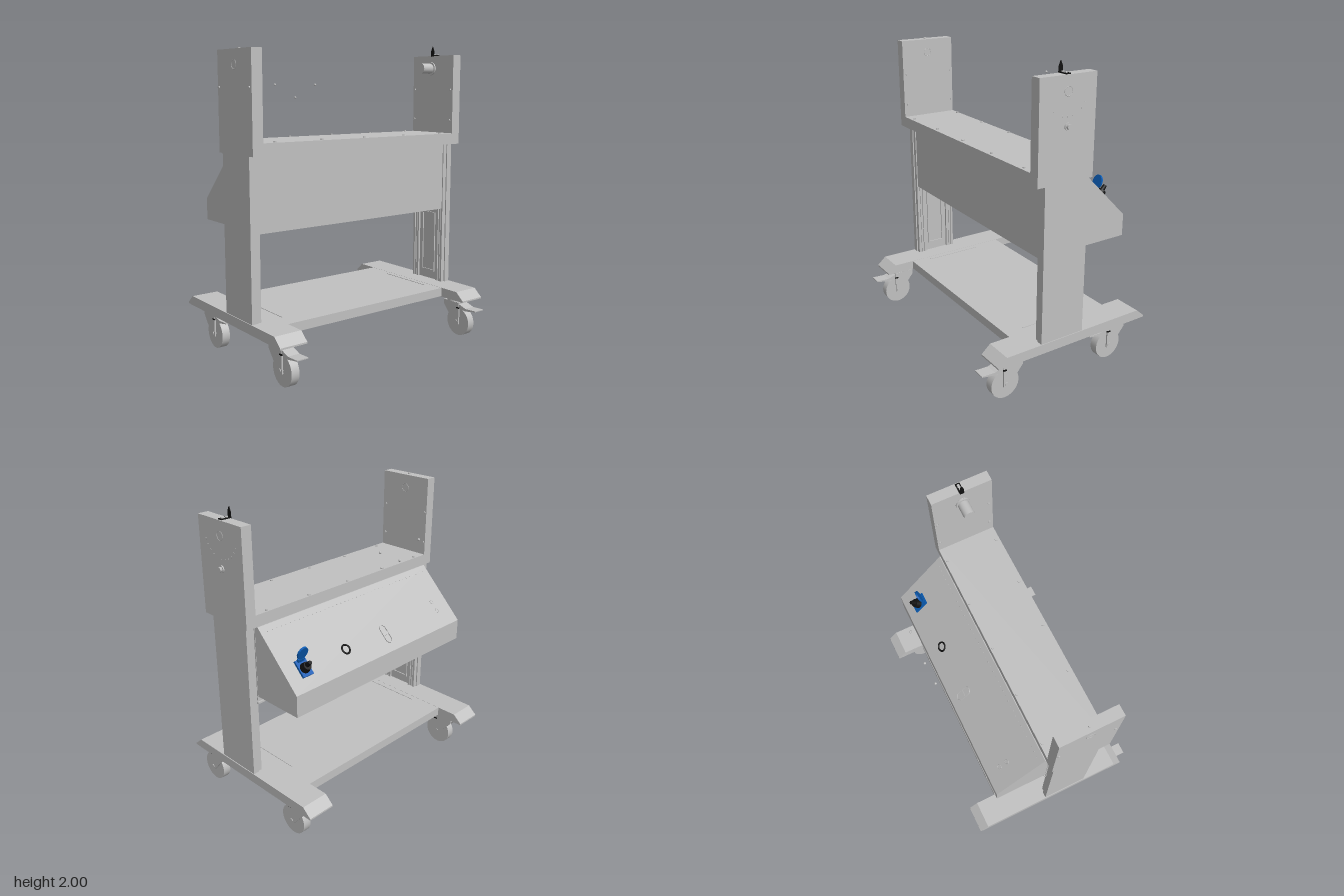
import * as THREE from 'three';

const mat = (name, color) => {
  const m = new THREE.MeshStandardMaterial({ color });
  m.name = name;
  return m;
};

export function createModel() {
  const model = new THREE.Group();
  model.name = 'trolley';
  const grey = mat('paintedGrey', 0xc0c0c0);
  const blue = mat('socketBlue', 0x0a5cb4);
  const black = mat('black', 0x111111);
  const CX = 0.01; // mirror plane of the frame

  const add = (parent, name, geo, material = grey) => {
    const m = new THREE.Mesh(geo, material);
    m.name = name;
    parent.add(m);
    return m;
  };
  // box given by its limits on each axis
  const box = (parent, name, x0, x1, y0, y1, z0, z1, material) => {
    const g = new THREE.BoxGeometry(Math.abs(x1 - x0), y1 - y0, z1 - z0);
    g.translate((x0 + x1) / 2, (y0 + y1) / 2, (z0 + z1) / 2);
    return add(parent, name, g, material);
  };
  // [z, y] outline extruded between two x positions
  const profile = (parent, name, pts, x0, x1, material) => {
    const shape = new THREE.Shape(pts.map(p => new THREE.Vector2(...p)));
    const g = new THREE.ExtrudeGeometry(shape, { depth: x1 - x0, bevelEnabled: false });
    g.rotateY(-Math.PI / 2).translate(x1, 0, 0);
    return add(parent, name, g, material);
  };
  // cylinder lying along x between two x positions
  const rodX = (parent, name, x0, x1, y, z, r, material, sides = 24) => {
    const g = new THREE.CylinderGeometry(r, r, Math.abs(x1 - x0), sides);
    g.rotateZ(Math.PI / 2).translate((x0 + x1) / 2, y, z);
    return add(parent, name, g, material);
  };
  const rodY = (parent, name, x, y0, y1, z, r, material, sides = 12) => {
    const g = new THREE.CylinderGeometry(r, r, y1 - y0, sides);
    g.translate(x, (y0 + y1) / 2, z);
    return add(parent, name, g, material);
  };

  // braked swivel caster, wheel axle at local z = 0
  function caster(x, z) {
    const c = new THREE.Group();
    c.name = 'caster';
    c.position.set(x, 0, z);
    rodX(c, 'wheel', -0.027, 0.027, 0.098, 0, 0.098, grey, 40);
    rodX(c, 'axle', -0.047, 0.047, 0.1, 0, 0.012);
    for (const s of [-1, 1]) {
      const x0 = s * 0.038 - 0.005;
      profile(c, 'forkCheek', [[0.02, 0.235], [-0.12, 0.235], [-0.12, 0.205], [-0.02, 0.083], [0.02, 0.083]], x0, x0 + 0.01);
    }
    box(c, 'forkBridge', -0.04, 0.04, 0.215, 0.237, -0.12, 0.02);
    rodY(c, 'swivel', 0, 0.235, 0.252, -0.06, 0.048, grey, 24);
    box(c, 'mountingPlate', -0.05, 0.05, 0.25, 0.262, -0.155, 0.04);
    profile(c, 'brakePedal', [[0.17, 0.212], [0.08, 0.208], [0.02, 0.228], [0, 0.2], [0.08, 0.19], [0.17, 0.206]], -0.04, 0.04);
    box(c, 'brakeBar', -0.048, 0.048, 0.197, 0.205, 0.0, 0.025, black);
    model.add(c);
  }

  // mirrored sides: tower, column, foot and casters
  for (const s of [-1, 1]) {
    const X = d => CX + s * d;
    const side = new THREE.Group();
    side.name = s > 0 ? 'leftSide' : 'rightSide';
    model.add(side);
    box(side, 'tower', X(0.765), X(0.835), 1.39, 1.935, -0.11, 0.28);
    box(side, 'columnCover', X(0.785), X(0.825), 0.325, 1.325, -0.09, 0.22);
    box(side, 'columnLiner', X(0.772), X(0.786), 0.325, 1.325, -0.07, 0.2);
    for (const [a, b] of [[0.155, 0.212], [-0.082, -0.025]]) {
      box(side, 'columnRail', X(0.765), X(0.786), 0.325, 1.325, a, b);
      const mid = (a + b) / 2;
      for (const e of [a + 0.008, b - 0.008])
        box(side, 'railLip', X(0.757), X(0.766), 0.325, 1.325, e - 0.008, e + 0.008);
      box(side, 'railCore', X(0.76), X(0.766), 0.325, 1.325, mid - 0.005, mid + 0.005);
    }
    // framed opening low on the inner face
    for (const [a, b] of [[0.0, 0.012], [0.118, 0.13]])
      box(side, 'innerFrame', X(0.764), X(0.773), 0.38, 0.82, a, b);
    for (const y of [0.38, 0.808])
      box(side, 'innerFrame', X(0.764), X(0.773), y, y + 0.012, 0, 0.13);

    const f = [X(0.645), X(0.83)].sort((a, b) => a - b);
    profile(side, 'foot', [[0.53, 0.262], [0.53, 0.272], [0.47, 0.325], [-0.55, 0.325], [-0.61, 0.272], [-0.61, 0.262]], f[0], f[1]);
    for (const z of [0.435, -0.375]) caster(X(0.73), z);

    // tower fittings
    for (const d of [0.7645, 0.8355]) {
      const ring = new THREE.TorusGeometry(0.027, 0.0018, 6, 32);
      ring.rotateY(Math.PI / 2).translate(X(d), 1.845, 0.085);
      add(side, 'holeRim', ring);
    }
    for (const z of [-0.095, 0.255])
      for (const y of [1.49, 1.7]) rodX(side, 'towerScrew', X(0.757), X(0.766), y, z, 0.008, grey, 12);
    rodY(side, 'towerTopScrew', X(0.8), 1.934, 1.944, 0.085, 0.009);
  }

  // deck with screws
  box(model, 'deck', CX - 0.835, CX + 0.835, 1.325, 1.4, -0.11, 0.28);
  for (const x of [-0.67, -0.335, 0, 0.335, 0.67])
    for (const z of [-0.095, 0.255]) rodY(model, 'deckScrew', CX + x, 1.4, 1.408, z, 0.009);

  // main body and sloped rear console
  box(model, 'body', -0.752, 0.772, 0.86, 1.325, -0.09, 0.205);
  profile(model, 'console', [[-0.088, 0.86], [-0.088, 1.325], [-0.115, 1.325], [-0.44, 1.0], [-0.44, 0.86]], -0.75, 0.77);
  // stepped rail under the body
  box(model, 'lowerRail', -0.755, 0.775, 0.835, 0.86, -0.09, -0.055);
  box(model, 'lowerRailWeb', -0.755, 0.775, 0.82, 0.836, -0.083, -0.062);
  box(model, 'lowerRailFlange', -0.755, 0.775, 0.81, 0.821, -0.095, -0.055);

  // base tray, hollow underneath
  box(model, 'trayTop', CX - 0.645, CX + 0.645, 0.308, 0.324, -0.41, 0.33);
  for (const z of [-0.41, 0.31]) box(model, 'trayRim', CX - 0.645, CX + 0.645, 0.265, 0.31, z, z + 0.02);
  for (const s of [-1, 1]) {
    box(model, 'trayRim', CX + s * 0.645, CX + s * 0.622, 0.265, 0.31, -0.41, 0.33);
    box(model, 'traySeam', CX + s * 0.6, CX + s * 0.604, 0.323, 0.327, -0.2, 0.2);
  }

  // left tower: crank boss, pointer and outer knob
  rodX(model, 'boss', 0.66, 0.755, 1.846, 0.08, 0.035, grey, 32);
  rodX(model, 'bossFlange', 0.75, 0.76, 1.846, 0.08, 0.046, grey, 32);
  rodX(model, 'bossShaft', 0.755, 0.78, 1.846, 0.08, 0.02);
  profile(model, 'pointer', [[0.073, 1.93], [0.097, 1.93], [0.098, 1.97], [0.085, 2.0], [0.072, 1.97]], 0.767, 0.772, black);
  box(model, 'pointerFoot', 0.767, 0.838, 1.935, 1.941, 0.07, 0.1, black);
  for (const x of [0.79, 0.82]) rodY(model, 'pointerScrew', x, 1.94, 1.946, 0.085, 0.009);
  rodX(model, 'knobWasher', 0.84, 0.852, 1.65, 0.085, 0.022);
  rodX(model, 'knob', 0.85, 0.867, 1.65, 0.085, 0.016, grey, 6);

  // right tower: side screw and arc of index holes
  for (const z of [-0.095, 0.255]) rodX(model, 'sideScrew', -0.832, -0.82, 1.715, z, 0.008, grey, 12);
  for (let i = 0; i <= 10; i++) {
    const a = Math.PI * (1.1 + 0.08 * i);
    rodX(model, 'indexHole', 0.8445, 0.8465, 1.845 + 0.14 * Math.sin(a), 0.085 + 0.14 * Math.cos(a), 0.006, grey, 10);
  }

  // loose markers behind the tower tops
  for (const [x, y] of [[-0.16, 1.735], [0.185, 1.735], [0.01, 1.645]])
    add(model, 'marker', new THREE.SphereGeometry(0.008, 10, 8)).position.set(x, y, -0.523);

  // groups lying on the console slope: local y up the slope, local z outward
  const onSlope = (name, x, z) => {
    const g = new THREE.Group(), k = Math.SQRT1_2;
    g.name = name;
    g.quaternion.setFromRotationMatrix(new THREE.Matrix4().makeBasis(
      new THREE.Vector3(-1, 0, 0), new THREE.Vector3(0, k, k), new THREE.Vector3(0, k, -k)));
    g.position.set(x, 1.44 + z, z);
    model.add(g);
    return g;
  };
  // power inlet with raised lid
  const inlet = onSlope('powerInlet', 0.63, -0.345);
  box(inlet, 'inletPlate', -0.04, 0.04, -0.055, 0.055, 0, 0.014, blue);
  const body = add(inlet, 'inletBody', new THREE.CylinderGeometry(0.026, 0.034, 0.04, 24), black);
  body.rotation.x = Math.PI / 2;
  body.position.set(0, -0.005, 0.03);
  const pin = add(inlet, 'inletPlug', new THREE.CylinderGeometry(0.012, 0.016, 0.04, 16), black);
  pin.rotation.x = Math.PI / 2;
  pin.position.set(0, 0, 0.065);
  const lid = new THREE.Group();
  lid.name = 'inletLid';
  lid.position.set(0, 0.045, 0.012);
  lid.rotation.x = -0.45;
  inlet.add(lid);
  box(lid, 'lidHinge', -0.025, 0.025, -0.008, 0.008, -0.004, 0.02, blue);
  const cap = add(lid, 'lidCap', new THREE.CylinderGeometry(0.038, 0.038, 0.012, 28), blue);
  cap.rotation.x = Math.PI / 2;
  cap.scale.z = 1.15;
  cap.position.set(0, 0, 0.06);
  cap.rotation.x = 0;
  // round black bezel
  const ring = onSlope('bezel', 0.275, -0.345);
  add(ring, 'bezelRing', new THREE.TorusGeometry(0.029, 0.006, 8, 32), black);
  // rounded slot frame with two switches
  const slot = onSlope('switchSlot', -0.08, -0.355);
  const outline = (r, h) => {
    const p = new THREE.Path();
    p.absarc(0, h, r, 0, Math.PI);
    p.absarc(0, -h, r, Math.PI, Math.PI * 2);
    p.closePath();
    return p;
  };
  const frame = new THREE.Shape(outline(0.028, 0.036).getPoints(12));
  frame.holes.push(outline(0.022, 0.036));
  add(slot, 'slotFrame', new THREE.ExtrudeGeometry(frame, { depth: 0.006, bevelEnabled: false }));
  box(slot, 'slotBar', -0.024, 0.024, -0.008, 0.008, 0, 0.005);
  // pair of small sockets
  for (const z of [-0.355, -0.305])
    add(onSlope('smallSocket', -0.615, z), 'socketRim', new THREE.TorusGeometry(0.014, 0.002, 6, 24));
  // fine row of rivets along the top edge
  for (let i = 0; i <= 40; i++)
    add(onSlope('rivet', -0.7 + i * 0.0355, -0.145), 'rivetHead', new THREE.SphereGeometry(0.003, 6, 4));

  return model;
}
